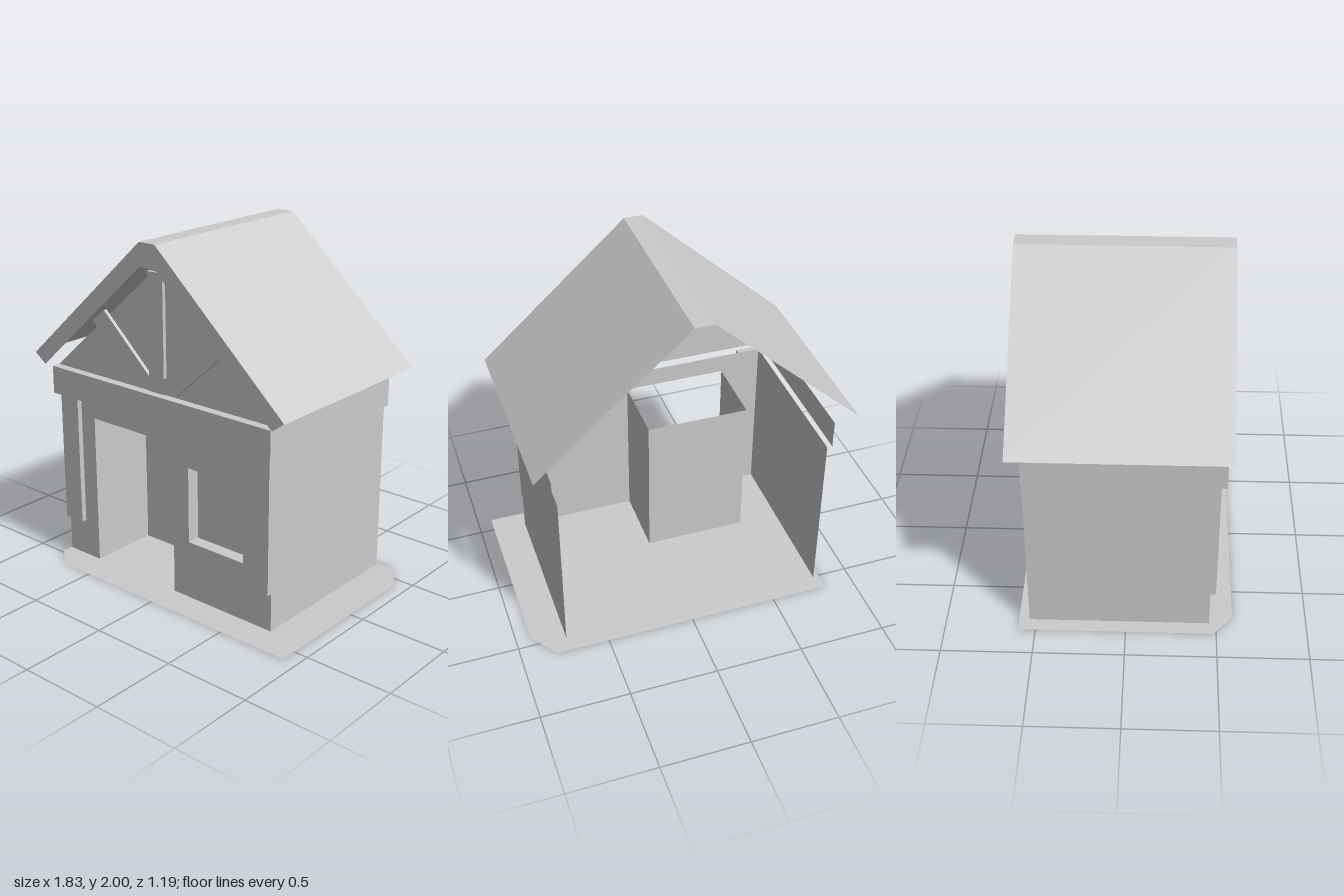
import * as THREE from 'three';

const material = new THREE.MeshStandardMaterial({ color: 0xcccccc, flatShading: true, side: THREE.DoubleSide });

function add(group, name, geometry) {
  const mesh = new THREE.Mesh(geometry, material);
  mesh.name = name;
  group.add(mesh);
  return mesh;
}

const outline = (points) => new THREE.Shape(points.map(([x, y]) => new THREE.Vector2(x, y)));
const rect = (x0, x1, y0, y1) => [[x0, y0], [x1, y0], [x1, y1], [x0, y1]];

// Thin sheets facing each axis
const sheetZ = (points, z) => new THREE.ShapeGeometry(outline(points)).translate(0, 0, z);
const sheetX = (x, y0, y1, z0, z1) =>
  new THREE.PlaneGeometry(z1 - z0, y1 - y0).rotateY(Math.PI / 2).translate(x, (y0 + y1) / 2, (z0 + z1) / 2);
const sheetY = (y, x0, x1, z0, z1) =>
  new THREE.PlaneGeometry(x1 - x0, z1 - z0).rotateX(-Math.PI / 2).translate((x0 + x1) / 2, y, (z0 + z1) / 2);

// Sheet swept along z from an open profile in x and y
function sweep(profile, z0, z1) {
  const position = [], index = [];
  profile.forEach(([x, y], i) => {
    position.push(x, y, z0, x, y, z1);
    if (i) {
      const a = 2 * i - 2;
      index.push(a, a + 1, a + 3, a, a + 3, a + 2);
    }
  });
  const geometry = new THREE.BufferGeometry();
  geometry.setAttribute('position', new THREE.Float32BufferAttribute(position, 3));
  geometry.setIndex(index);
  const flat = geometry.toNonIndexed();
  flat.computeVertexNormals();
  return flat;
}

export function createModel() {
  const house = new THREE.Group();
  house.name = 'house';

  const left = -0.78, right = 0.73, bottom = 0.03, wallTop = 1.02;
  const front = 0.46, back = -0.533, beamTop = 1.18;

  // Ground slab with two cut corners, drawn in x and -z
  const slab = [[-0.83, -0.485], [-0.7, -0.593], [0.917, -0.593], [0.917, 0.44], [0.8, 0.597], [-0.83, 0.597]];
  add(house, 'groundSlab', new THREE.ShapeGeometry(outline(slab)).rotateX(-Math.PI / 2));

  // Front wall with door notch and window hole
  const door = { x0: -0.545, x1: 0.05, top: 0.91, z: 0.05 };
  const win = { x0: 0.16, x1: 0.54, y0: 0.365, y1: 0.8, z: 0.385 };
  const wall = outline([
    [left, bottom], [door.x0, bottom], [door.x0, door.top], [door.x1, door.top],
    [door.x1, bottom], [right, bottom], [right, wallTop], [left, wallTop],
  ]);
  wall.holes.push(new THREE.Path(
    rect(win.x0, win.x1, win.y0, win.y1).reverse().map(([x, y]) => new THREE.Vector2(x, y))));
  add(house, 'frontWall', new THREE.ShapeGeometry(wall).translate(0, 0, front));

  // Side walls
  add(house, 'leftWall', sheetX(right, bottom, wallTop, back, front));
  add(house, 'rightWall', sheetX(left, bottom, wallTop, back, front));

  // Door recess, open above
  for (const x of [door.x0, door.x1]) add(house, 'doorRecessSide', sheetX(x, bottom, door.top, door.z, front));
  add(house, 'doorRecessBack', sheetZ(rect(door.x0, door.x1, bottom, door.top), door.z));

  // Window reveals and pane
  for (const x of [win.x0, win.x1]) add(house, 'windowReveal', sheetX(x, win.y0, win.y1, win.z, front));
  for (const y of [win.y0, win.y1]) add(house, 'windowSill', sheetY(y, win.x0, win.x1, win.z, front));
  add(house, 'windowPane', sheetZ(rect(0.09, 0.61, 0.3, 0.83), win.z));

  // Corner posts
  for (const x of [left + 0.066, right - 0.066]) {
    add(house, 'cornerPost', new THREE.BoxGeometry(0.132, wallTop - 0.25, 0.03))
      .position.set(x, (wallTop + 0.25) / 2, front + 0.015);
  }

  // Beam band on three sides, with a ledge in front of the gable
  const beamLeft = -0.81, beamRight = 0.755, beamFront = 0.517, gableZ = 0.467;
  add(house, 'frontBeam', sheetZ(rect(beamLeft, beamRight, wallTop, beamTop), beamFront));
  for (const x of [beamLeft, beamRight]) add(house, 'sideBeam', sheetX(x, wallTop, beamTop, back, beamFront));
  add(house, 'beamLedge', sheetY(beamTop, beamLeft, beamRight, gableZ, beamFront));

  // Gable
  add(house, 'gable', sheetZ([[beamLeft, beamTop], [beamRight, beamTop], [-0.03, 1.865]], gableZ));

  // King post and braces in one piece
  const truss = outline([
    [-0.5, 1.5], [-0.165, 1.195], [-0.06, 1.188], [0, 1.188], [0.105, 1.195], [0.44, 1.5],
    [0.35, 1.572], [0.022, 1.272], [0.022, 1.84], [-0.085, 1.84], [-0.085, 1.272], [-0.41, 1.572],
  ]);
  add(house, 'gableTruss', new THREE.ExtrudeGeometry(truss, { depth: 0.021, bevelEnabled: false }).translate(0, 0, 0.469));

  // Roof skin and front bargeboard
  const roofProfile = [[-0.917, 1.247], [-0.083, 2], [0.024, 2], [0.859, 1.247]];
  add(house, 'roof', sweep(roofProfile, -0.595, 0.545));
  add(house, 'bargeboard', sheetZ(
    [...roofProfile, [0.784, 1.192], [0.022, 1.87], [-0.085, 1.87], [-0.84, 1.192]], 0.545));

  return house;
}
